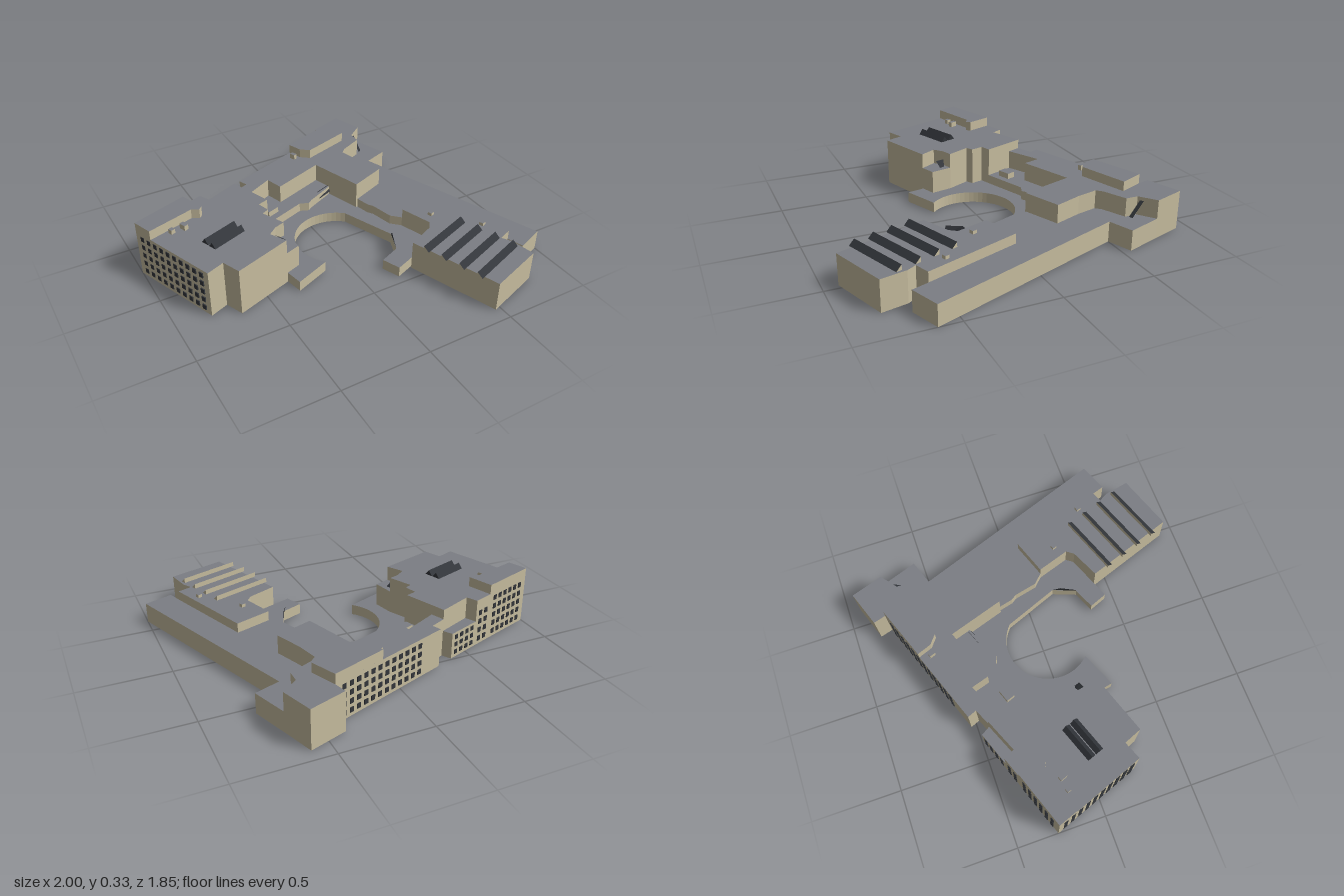
import * as THREE from 'three';
import { mergeGeometries } from 'three/addons/utils/BufferGeometryUtils.js';

const mat = (color) => new THREE.MeshStandardMaterial({ color, side: THREE.DoubleSide });
const wallMat = mat(0xc8bea0);
const roofMat = mat(0x7c7e84);
const darkMat = mat(0x33363b);

// The whole plan is turned by 20 degrees
const TURN = THREE.MathUtils.degToRad(20);
const ALONG = [Math.cos(TURN), -Math.sin(TURN)];
const BACK = [-Math.sin(TURN), -Math.cos(TURN)];

// Flat four-cornered face
function quad(a, b, c, d) {
  const g = new THREE.BufferGeometry();
  g.setAttribute('position', new THREE.Float32BufferAttribute([a, b, c, a, c, d].flat(), 3));
  g.computeVertexNormals();
  return g;
}

function addMesh(parent, name, geos, material) {
  const mesh = new THREE.Mesh(mergeGeometries(geos), material);
  mesh.name = name;
  parent.add(mesh);
}

// Open-bottomed building volume: walls round a plan of [x, z] corners, and a flat roof
function volume(parent, name, plan, top, base = 0) {
  const g = new THREE.Group();
  g.name = name;
  // corners run clockwise in plan, so walls face outward
  const pts = plan.map(([x, z]) => new THREE.Vector2(x, -z));
  const ring = THREE.ShapeUtils.isClockWise(pts) ? plan.slice().reverse() : plan;
  addMesh(g, 'walls', ring.map(([x, z], i) => {
    const [x2, z2] = ring[(i + 1) % ring.length];
    return quad([x, base, z], [x2, base, z2], [x2, top, z2], [x, top, z]);
  }), wallMat);
  const roof = new THREE.ShapeGeometry(new THREE.Shape(pts));
  roof.rotateX(-Math.PI / 2).translate(0, top, 0);
  addMesh(g, 'roof', [roof], roofMat);
  parent.add(g);
}

// Small turned roof box
function roofBox(parent, x, z, w, d, base, top) {
  const corner = (s, t) => [
    x + ALONG[0] * s * w / 2 + BACK[0] * t * d / 2,
    z + ALONG[1] * s * w / 2 + BACK[1] * t * d / 2];
  volume(parent, 'roofBox', [corner(-1, -1), corner(1, -1), corner(1, 1), corner(-1, 1)], top, base);
}

// Roof light with a dark front slope; the back is a wall or a second slope
function roofLight(parent, x, z, length, depth, base, top, ridge, backMat) {
  const p = (s, t, y) => [
    x + ALONG[0] * s * length + BACK[0] * t * depth, y,
    z + ALONG[1] * s * length + BACK[1] * t * depth];
  const g = new THREE.Group();
  g.name = 'roofLight';
  addMesh(g, 'glassSlope', [quad(p(0, 0, base), p(1, 0, base), p(1, ridge, top), p(0, ridge, top))], darkMat);
  addMesh(g, 'backAndEnds', [
    quad(p(1, 1, base), p(0, 1, base), p(0, ridge, top), p(1, ridge, top)),
    quad(p(0, 1, base), p(0, 0, base), p(0, ridge, top), p(0, ridge, top)),
    quad(p(1, 0, base), p(1, 1, base), p(1, ridge, top), p(1, ridge, top)),
  ], backMat);
  parent.add(g);
}

// Grid of windows on the wall from a to b, between two heights
function windows(parent, a, b, cols, rows, low, high) {
  const dx = b[0] - a[0], dz = b[1] - a[1];
  const len = Math.hypot(dx, dz);
  const geos = [];
  for (let i = 0; i < cols; i++) {
    for (let j = 0; j < rows; j++) {
      const t = (i + 0.5) / cols;
      const y = low + (j + 0.5) * (high - low) / rows;
      geos.push(new THREE.BoxGeometry(len / cols * 0.5, (high - low) / rows * 0.55, 0.008)
        .rotateY(-Math.atan2(dz, dx))
        .translate(a[0] + dx * t, y, a[1] + dz * t));
    }
  }
  addMesh(parent, 'windows', geos, darkMat);
}

export function createModel() {
  const model = new THREE.Group();
  model.name = 'buildingComplex';

  // West block with its raised rear storey and lower rear annex
  volume(model, 'westBlock', [
    [-1, -0.27], [-0.69, -0.38], [-0.58, -0.42], [-0.55, -0.36], [-0.36, -0.44], [-0.27, -0.2],
    [-0.33, -0.18], [-0.31, -0.11], [-0.35, -0.09], [-0.29, 0.04], [-0.35, 0.06], [-0.4, 0.1],
    [-0.35, 0.19], [-0.67, 0.3], [-0.71, 0.2], [-0.81, 0.24]], 0.275);
  volume(model, 'westUpperStorey', [
    [-1, -0.27], [-0.69, -0.38], [-0.64, -0.24], [-0.66, -0.22], [-0.7, -0.24], [-0.96, -0.16]], 0.33, 0.275);
  volume(model, 'rearAnnex', [[-0.58, -0.42], [-0.39, -0.49], [-0.36, -0.44], [-0.55, -0.36]], 0.15);
  volume(model, 'stairBlock', [[-0.4, 0.1], [-0.35, 0.06], [-0.29, 0.04], [-0.265, 0.16], [-0.35, 0.19]], 0.19);

  // Rear wing with penthouse
  volume(model, 'rearWing', [
    [-0.29, -0.53], [0.42, -0.79], [0.4, -0.86], [0.6, -0.93], [0.66, -0.75], [0.57, -0.68],
    [0.57, -0.61], [0.44, -0.55], [0.41, -0.52], [0.44, -0.4], [0.5, -0.24], [0.29, -0.16],
    [0.19, -0.47], [-0.11, -0.36], [-0.14, -0.46], [-0.34, -0.36], [-0.36, -0.44], [-0.27, -0.48]], 0.22);
  volume(model, 'penthouse', [
    [0.12, -0.68], [0.42, -0.79], [0.48, -0.65], [0.2, -0.56], [0.15, -0.6]], 0.275, 0.22);

  // Terrace, and the low hall curving round the court
  volume(model, 'terrace', [
    [-0.34, -0.36], [-0.14, -0.46], [-0.11, -0.36], [0.19, -0.47], [0.23, -0.37],
    [0.06, -0.29], [0.03, -0.27], [-0.02, -0.29], [-0.27, -0.2]], 0.112);
  const arc = Array.from({ length: 29 }, (_, i) => {
    const t = THREE.MathUtils.degToRad(-48 - 177 * i / 28);
    return [0.04 + 0.238 * Math.cos(t), 0.04 + 0.238 * Math.sin(t)];
  });
  volume(model, 'courtHall', [
    [-0.27, -0.2], [-0.02, -0.29], [0.03, -0.27], [0.06, -0.29], [0.23, -0.37], [0.3, -0.16],
    [0.32, -0.08], [0.34, -0.05], [0.37, 0.08], [0.42, 0.13], [0.48, 0.31], [0.45, 0.35],
    [0.19, 0.45], [0.15, 0.35], [0.27, 0.3], [0.32, 0.17], ...arc,
    [-0.33, 0.29], [-0.35, 0.19], [-0.265, 0.16], [-0.29, 0.04], [-0.35, -0.09], [-0.31, -0.11], [-0.33, -0.18]], 0.06);

  // Long east wing and the front hall beside it
  volume(model, 'eastWing', [
    [0.3, -0.16], [0.5, -0.24], [0.44, -0.4], [0.41, -0.52], [0.44, -0.55], [0.57, -0.61],
    [0.57, -0.68], [0.66, -0.75], [0.73, -0.55], [0.59, -0.5], [1, 0.62], [0.84, 0.68],
    [0.81, 0.59], [0.62, 0.06], [0.42, 0.13], [0.37, 0.08], [0.34, -0.05], [0.32, -0.08]], 0.115);
  volume(model, 'frontHall', [
    [0.42, 0.13], [0.62, 0.06], [0.81, 0.59], [0.73, 0.62], [0.76, 0.67], [0.79, 0.81],
    [0.47, 0.92], [0.29, 0.42], [0.45, 0.35], [0.48, 0.31]], 0.17);

  // Sawtooth roof lights on the front hall, twin ridge lights on the west block
  for (let i = 0; i < 4; i++) {
    roofLight(model, 0.312 + i * 0.036, 0.533 + i * 0.104, 0.36, 0.032, 0.17, 0.198, 1, wallMat);
  }
  for (let i = 0; i < 2; i++) {
    roofLight(model, -0.7 - i * 0.018, 0.08 - i * 0.05, 0.21, 0.048, 0.275, 0.305, 0.5, darkMat);
  }

  // Sloping glass on the terrace, hall, stair block and east recess
  addMesh(model, 'slopingGlass', [
    quad([0.13, 0.08, -0.32], [0.23, 0.08, -0.36], [0.22, 0.115, -0.38], [0.13, 0.115, -0.345]),
    quad([0.27, 0.062, 0.3], [0.32, 0.062, 0.17], [0.3, 0.1, 0.21], [0.26, 0.1, 0.29]),
    quad([-0.35, 0.225, 0.06], [-0.31, 0.195, 0.07], [-0.3, 0.195, 0.1], [-0.34, 0.225, 0.11]),
    quad([0.58, 0.2, -0.69], [0.6, 0.2, -0.7], [0.61, 0.12, -0.63], [0.59, 0.12, -0.62]),
  ], darkMat);

  // Roof boxes
  roofBox(model, -0.84, -0.165, 0.025, 0.025, 0.275, 0.3);
  roofBox(model, -0.77, -0.17, 0.025, 0.04, 0.275, 0.305);
  roofBox(model, -0.21, -0.29, 0.075, 0.05, 0.112, 0.145);
  roofBox(model, 0.11, -0.61, 0.022, 0.035, 0.22, 0.25);
  roofBox(model, 0.53, 0.25, 0.025, 0.025, 0.17, 0.188);
  roofBox(model, 0.72, 0.47, 0.025, 0.025, 0.17, 0.188);

  // Window grids on the west end and the rear walls
  windows(model, [-0.99, -0.25], [-0.82, 0.22], 10, 5, 0.01, 0.27);
  windows(model, [-0.97, -0.281], [-0.71, -0.373], 6, 5, 0.01, 0.27);
  windows(model, [-0.68, -0.384], [-0.59, -0.416], 2, 4, 0.01, 0.22);
  windows(model, [-0.57, -0.424], [-0.4, -0.486], 4, 3, 0.01, 0.145);
  windows(model, [-0.16, -0.578], [0.39, -0.779], 12, 4, 0.01, 0.21);

  return model;
}
